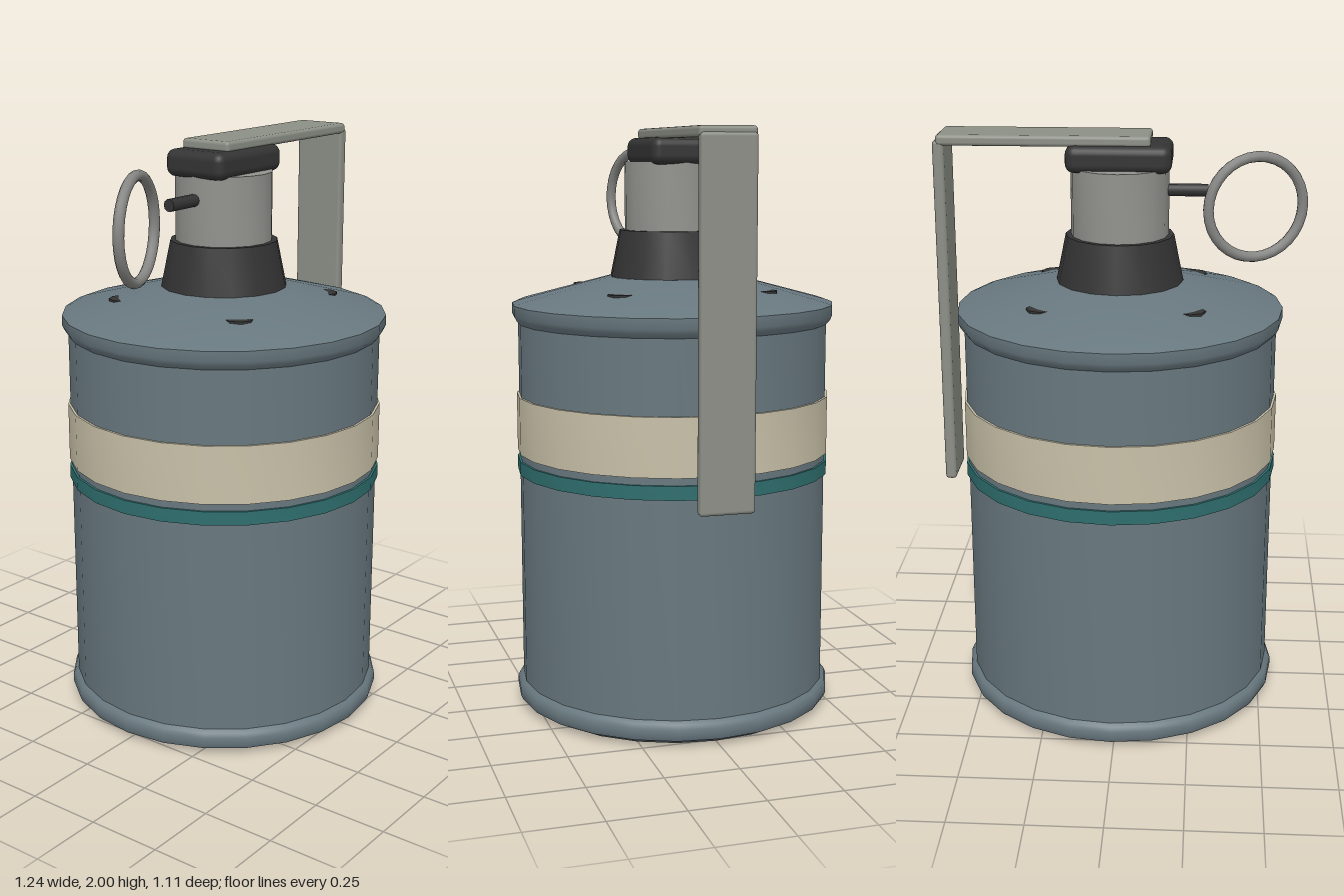
import * as THREE from 'three';
import { toCreasedNormals } from 'three/addons/utils/BufferGeometryUtils.js';
import { RoundedBoxGeometry } from 'three/addons/geometries/RoundedBoxGeometry.js';

const mat = (name, color) => {
  const m = new THREE.MeshStandardMaterial({ color });
  m.name = name;
  return m;
};

export function createModel() {
  const paint = mat('blue grey paint', 0x68787f);
  const cream = mat('cream', 0xc8c0a8);
  const teal = mat('teal', 0x2f6e6e);
  const dark = mat('dark metal', 0x343434);
  const leverMetal = mat('lever metal', 0x8c8f86);
  const neckMetal = mat('neck metal', 0x92928e);
  const ringMetal = mat('ring metal', 0x858583);

  const model = new THREE.Group();
  model.name = 'canister';
  const cx = 0.008; // axis of the body

  const add = (name, geometry, material, x = 0, y = 0, z = 0) => {
    const mesh = new THREE.Mesh(geometry, material);
    mesh.name = name;
    mesh.position.set(x, y, z);
    model.add(mesh);
    return mesh;
  };
  // Turned part from [radius, height] pairs, listed bottom to top
  const turned = (name, profile, sides, material) => {
    const points = profile.map(([r, y]) => new THREE.Vector2(r, y));
    return add(name, toCreasedNormals(new THREE.LatheGeometry(points, sides), 0.6), material, cx);
  };

  // Can with rolled rims and a sloped shoulder
  turned('body', [
    [0, 0], [0.5, 0], [0.548, 0.025], [0.555, 0.04], [0.555, 0.065], [0.548, 0.08], [0.535, 0.09],
    [0.535, 1.345], [0.548, 1.36], [0.555, 1.375], [0.555, 1.41], [0.535, 1.418], [0.22, 1.502], [0, 1.502],
  ], 24, paint);

  // Painted bands
  const band = (name, y0, y1, material) =>
    turned(name, [[0.53, y0], [0.543, y0], [0.543, y1], [0.53, y1]], 24, material);
  band('wideBand', 0.9, 1.097, cream);
  band('narrowBand', 0.828, 0.875, teal);

  // Vent plugs that just break through the shoulder
  for (let i = 0; i < 4; i++) {
    const a = Math.PI / 4 + i * Math.PI / 2;
    add('ventPlug', new THREE.CylinderGeometry(0.05, 0.05, 0.04, 8), dark,
      cx + Math.cos(a) * 0.345, 1.444, Math.sin(a) * 0.345);
  }

  // Fuse collar, neck and head
  turned('collar', [[0.218, 1.49], [0.215, 1.505], [0.183, 1.66], [0, 1.66]], 16, dark);
  turned('neck', [[0.165, 1.6], [0.165, 1.89], [0, 1.89]], 16, neckMetal);
  add('fuseHead', new RoundedBoxGeometry(0.35, 0.09, 0.236, 3, 0.03), dark, cx, 1.925, 0);

  // Safety lever
  add('leverTop', new RoundedBoxGeometry(0.705, 0.036, 0.19, 2, 0.012), leverMetal, 0.255, 1.982, 0);
  add('leverArm', new RoundedBoxGeometry(0.038, 1.19, 0.186, 2, 0.012), leverMetal, 0.6, 1.385, 0);

  // Pin and pull ring
  const pin = add('pin', new THREE.CylinderGeometry(0.021, 0.021, 0.2, 10), dark, -0.186, 1.81, 0);
  pin.rotation.z = Math.PI / 2;
  const ring = add('pullRing', new THREE.TorusGeometry(0.169, 0.018, 10, 32), ringMetal, -0.446, 1.755, 0);
  ring.rotation.y = 0.36;

  return model;
}
